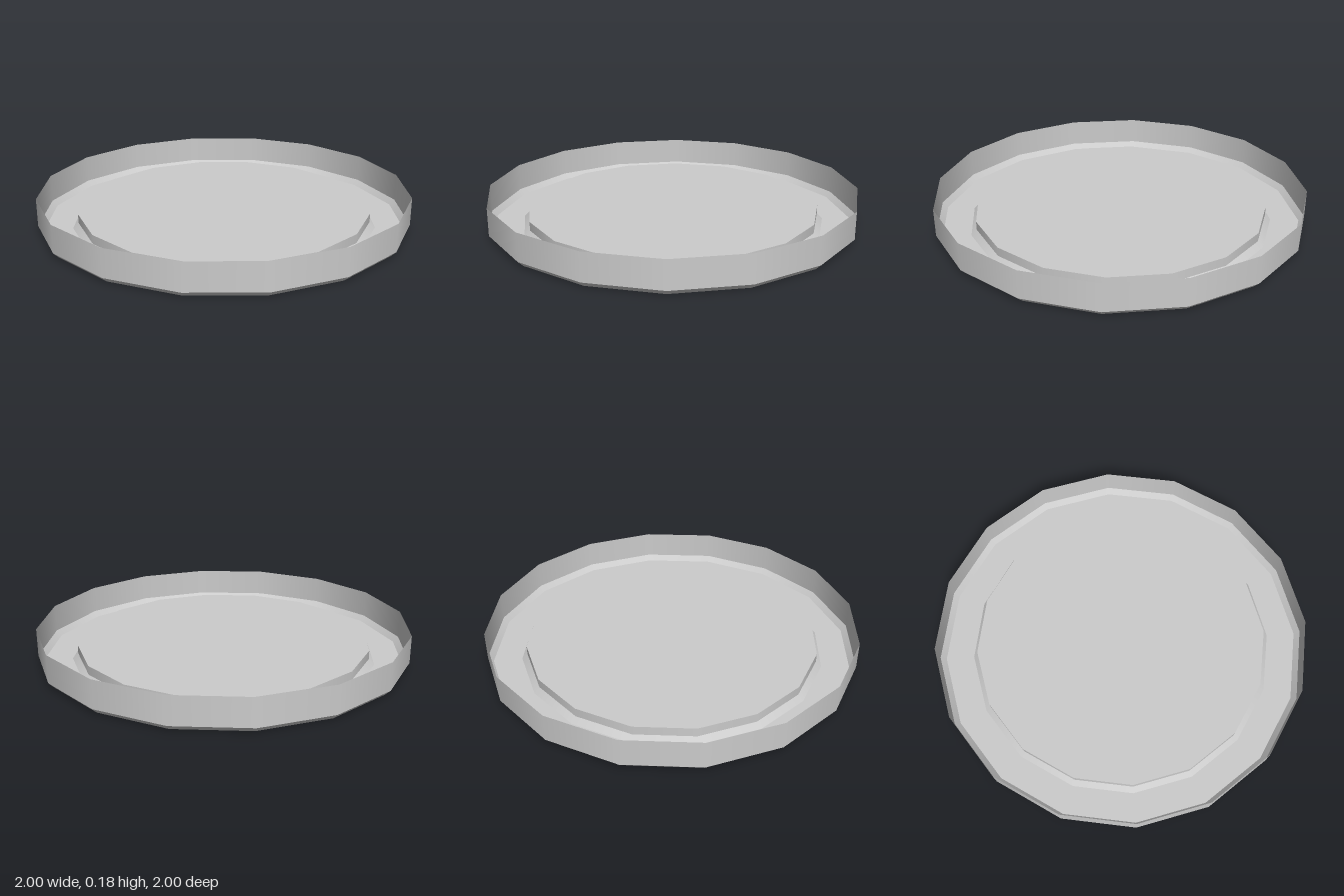
import * as THREE from 'three';

const SIDES = 16;

export function createModel() {
  const group = new THREE.Group();
  group.name = 'shallowTray';
  const material = new THREE.MeshStandardMaterial({ color: 0xcccccc, side: THREE.DoubleSide });

  const add = (name, geometry) => {
    const mesh = new THREE.Mesh(geometry, material);
    mesh.name = name;
    group.add(mesh);
    return mesh;
  };

  // One thin ring per band: smooth around, sharp between bands
  const band = (name, r0, y0, r1, y1) =>
    add(name, new THREE.LatheGeometry([new THREE.Vector2(r0, y0), new THREE.Vector2(r1, y1)], SIDES));

  // Raised centre panel, facing down like the rest of the shell's outside
  const panel = add('raisedCentre', new THREE.CircleGeometry(0.79, SIDES));
  panel.rotation.x = Math.PI / 2;
  panel.position.y = 0.076;

  // Step down from the centre to the foot ring
  band('centreStep', 0.79, 0.076, 0.79, 0.028);
  band('innerBevel', 0.79, 0.028, 0.82, 0);

  // Foot ring, outer bevel and open-topped rim wall
  band('footRing', 0.82, 0, 0.972, 0);
  band('outerBevel', 0.972, 0, 1, 0.028);
  band('rimWall', 1, 0.028, 1, 0.177);

  return group;
}
